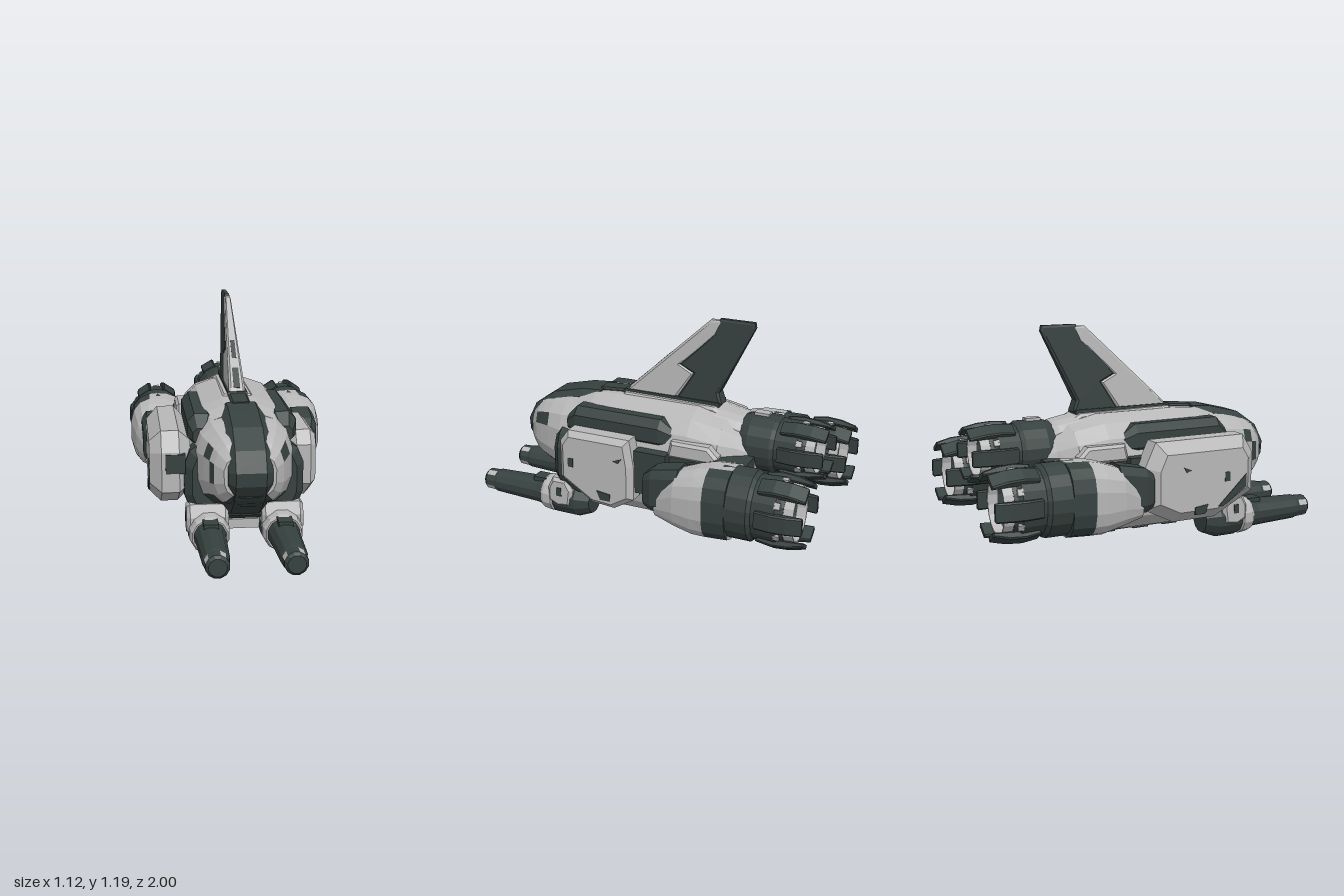
import * as THREE from 'three';

const light = new THREE.MeshStandardMaterial({ color: 0xb8b8b8 });
light.name = 'pale grey';
const dark = new THREE.MeshStandardMaterial({ color: 0x36413f });
dark.name = 'dark slate';

export function createModel() {
  const root = new THREE.Group();
  root.name = 'spacecraft';

  function add(name, geometry, material, parent = root) {
    const mesh = new THREE.Mesh(geometry, material);
    mesh.name = name;
    parent.add(mesh);
    return mesh;
  }

  function flat(geometry) {
    const g = geometry.index ? geometry.toNonIndexed() : geometry;
    g.computeVertexNormals();
    return g;
  }

  // Faceted hull through sections [z, x, halfWidth, yBottom, yTop], front to back.
  // isDark(section, side) picks the colour of each facet.
  function loft(name, sections, isDark, n = 16, power = 2.8) {
    const rings = sections.map(([z, x, w, y0, y1]) => Array.from({ length: n }, (_, j) => {
      const a = ((j + 0.5) / n) * Math.PI * 2, c = Math.cos(a), s = Math.sin(a);
      const bend = (v) => Math.sign(v) * Math.abs(v) ** (2 / power);
      return [x + w * bend(c), (y0 + y1) / 2 + ((y1 - y0) / 2) * bend(s), z];
    }));
    const faces = [[], []];
    const last = rings.length - 1;
    const middle = ([z, x, , y0, y1]) => [x, (y0 + y1) / 2, z];
    for (let j = 0; j < n; j++) {
      const k = (j + 1) % n;
      for (let i = 0; i < last; i++) {
        const a = rings[i][j], b = rings[i][k], c = rings[i + 1][k], d = rings[i + 1][j];
        faces[isDark(i, j) ? 1 : 0].push(...a, ...d, ...b, ...b, ...d, ...c);
      }
      faces[isDark(0, j) ? 1 : 0].push(...middle(sections[0]), ...rings[0][j], ...rings[0][k]);
      faces[isDark(last - 1, j) ? 1 : 0].push(...middle(sections[last]), ...rings[last][k], ...rings[last][j]);
    }
    const g = new THREE.BufferGeometry();
    g.setAttribute('position', new THREE.Float32BufferAttribute([...faces[0], ...faces[1]], 3));
    g.addGroup(0, faces[0].length / 3, 0);
    g.addGroup(faces[0].length / 3, faces[1].length / 3, 1);
    g.computeVertexNormals();
    return add(name, g, [light, dark]);
  }
  const allDark = () => true, allLight = () => false;

  // Side profile [z, y] extruded across x with chamfered edges.
  function slabGeometry(points, x0, x1, bevel = 0) {
    const depth = Math.abs(x1 - x0) - 2 * bevel;
    const g = new THREE.ExtrudeGeometry(new THREE.Shape(points.map((p) => new THREE.Vector2(...p))), {
      depth, bevelEnabled: bevel > 0, bevelSegments: 1,
      bevelSize: bevel, bevelThickness: bevel, bevelOffset: -bevel,
    });
    return g.translate(0, 0, -depth / 2).rotateY(-Math.PI / 2).translate((x0 + x1) / 2, 0, 0);
  }
  const slab = (name, points, x0, x1, bevel, mat) => add(name, slabGeometry(points, x0, x1, bevel), mat);

  function box(name, x0, x1, y0, y1, z0, z1, mat) {
    const g = new THREE.BoxGeometry(Math.abs(x1 - x0), y1 - y0, z1 - z0);
    return add(name, g.translate((x0 + x1) / 2, (y0 + y1) / 2, (z0 + z1) / 2), mat);
  }

  // Main fuselage: pale back and belly, dark flanks and dark forward keel
  loft('fuselage', [
    [0.42, 0, 0.24, 0.18, 0.71], [0.32, 0, 0.28, 0.09, 0.735], [0.2, 0, 0.29, 0.09, 0.745],
    [-0.28, 0, 0.29, 0.09, 0.745], [-0.45, 0, 0.28, 0.13, 0.71], [-0.54, 0, 0.2, 0.18, 0.66], [-0.62, 0, 0.15, 0.24, 0.6],
  ], (i, j) => j === 15 || j === 7 || (j > 7 && (i < 2 || i > 3)));
  for (const s of [-1, 1]) {
    for (const z of [-0.28, -0.08, 0.1]) box('bellyPanel', s * 0.05, s * 0.12, 0.097, 0.105, z, z + 0.09, dark);
    loft('shoulderPanel', [[0.42, s * 0.215, 0.045, 0.55, 0.64], [0.36, s * 0.21, 0.078, 0.53, 0.705],
      [-0.13, s * 0.21, 0.078, 0.53, 0.705], [-0.2, s * 0.215, 0.045, 0.55, 0.65]], allDark, 8, 2.4);
    box('flankBlock', s * 0.24, s * 0.34, 0.3, 0.54, -0.2, -0.02, dark);
    slab('rearFairing', [[-0.19, 0.52], [-0.21, 0.61], [-0.42, 0.61], [-0.47, 0.56], [-0.47, 0.52]],
      s * 0.2, s * 0.305, 0.015, light);
    slab('enginePylon', [[-0.3, 0.3], [-0.3, 0.5], [-0.46, 0.55], [-0.62, 0.54], [-0.62, 0.3]], s * 0.12, s * 0.33, 0.02, dark);
  }

  // Nose: pale cheeks with dark slits, a dark canopy band and a collar behind
  loft('cheeks', [
    [0.72, 0, 0.13, 0.36, 0.58], [0.67, 0, 0.175, 0.31, 0.635], [0.63, 0, 0.195, 0.29, 0.655],
    [0.57, 0, 0.22, 0.27, 0.675], [0.48, 0, 0.25, 0.23, 0.695], [0.34, 0, 0.26, 0.22, 0.715],
  ], (i, j) => (i === 1 && [0, 7].includes(j)) || (i === 2 && [6, 7, 0, 1, 9, 13].includes(j) && j % 6 !== 1)
    || (i === 3 && [9, 13].includes(j)) || (j > 9 && j < 13));
  slab('canopyBand', [[0.77, 0.5], [0.765, 0.43], [0.7, 0.34], [0.5, 0.2], [0.3, 0.18], [0.3, 0.74],
    [0.42, 0.73], [0.6, 0.685], [0.72, 0.6]], -0.11, 0.11, 0.035, dark);
  slab('canopyNeck', [[0.12, 0.72], [0.12, 0.76], [0.32, 0.745], [0.32, 0.7]], -0.05, 0.05, 0.01, dark);
  slab('chinSensor', [[0.5, 0.25], [0.5, 0.34], [0.69, 0.35], [0.62, 0.28]], -0.035, 0.035, 0, dark);
  loft('collar', [[0.5, 0, 0.27, 0.19, 0.56], [0.46, 0, 0.31, 0.16, 0.6], [0.36, 0, 0.31, 0.13, 0.6],
    [0.3, 0, 0.28, 0.12, 0.58]], allDark, 16, 3.2);

  // Flank armour, larger on the -x side
  slab('leftArmour', [[0.41, 0.53], [0.36, 0.6], [0, 0.6], [-0.025, 0.45], [-0.025, 0.26], [0.09, 0.19],
    [0.22, 0.2], [0.41, 0.32]], 0.25, 0.385, 0.03, light);
  slab('rightArmour', [[0.48, 0.53], [0.42, 0.63], [-0.1, 0.63], [-0.16, 0.5], [-0.16, 0.28], [0, 0.2],
    [0.25, 0.2], [0.48, 0.32]], -0.27, -0.48, 0.06, light);
  slab('rightArmourTrim', [[0.485, 0.42], [0.485, 0.52], [0.4, 0.52], [0.4, 0.42]], -0.3, -0.4, 0, dark);
  slab('rightArmourCorner', [[0.41, 0.36], [0.41, 0.43], [0.24, 0.27], [0.27, 0.27]], -0.476, -0.484, 0, dark);
  for (const [x, d] of [[0.385, 0], [-0.48, 0.04]]) {
    box('armourVent', x - 0.004, x + 0.004, 0.4, 0.45, 0.32 - d, 0.35 - d, dark);
    slab('armourHatch', [[0.1, 0.28], [0.18, 0.29], [0.16, 0.24], [0.1, 0.24]], x - 0.004, x + 0.004, 0, dark);
    slab('armourNotch', [[0.08, 0.48], [0.03, 0.5], [0.05, 0.47]], x - 0.004, x + 0.004, 0, dark);
  }

  // Tail fin, thinning toward its tip
  slab('finBase', [[0.2, 0.69], [0.16, 0.75], [-0.36, 0.745], [-0.46, 0.69]], -0.085, 0.085, 0.015, light);
  function fin(name, points, mat) {
    const g = slabGeometry(points, -0.045, 0.045, 0.012), p = g.attributes.position;
    for (let i = 0; i < p.count; i++) p.setX(i, p.getX(i) * (1 - 0.68 * (p.getY(i) - 0.75) / 0.46));
    add(name, flat(g), mat);
  }
  fin('finLeadingPanel', [[0.16, 0.75], [0.14, 0.78], [-0.31, 1.2], [-0.38, 1.2], [-0.34, 1.12],
    [-0.15, 0.94], [-0.23, 0.9], [-0.13, 0.75]], light);
  fin('finTrailingPanel', [[-0.36, 1.21], [-0.55, 1.21], [-0.555, 1.18], [-0.37, 0.81], [-0.39, 0.75],
    [-0.13, 0.75], [-0.22, 0.9], [-0.14, 0.94], [-0.33, 1.13]], dark);
  slab('finFootStrip', [[0.18, 0.738], [0.17, 0.762], [-0.38, 0.762], [-0.38, 0.738]], -0.052, 0.052, 0, dark);
  for (const [y, length, w] of [[0.82, 0.13, 0.034], [0.95, 0.12, 0.024]]) {
    const strip = add('finEdgeStrip', new THREE.BoxGeometry(w, length, 0.009), dark);
    strip.position.set(0, y, 0.135 - (y - 0.78) * 1.07);
    strip.rotation.x = -0.82;
  }

  // Engine: hollow dark nozzle, pale inner rim and six petals
  function engine(name, x, y, zStart, zEnd, r, stretch) {
    const group = new THREE.Group();
    group.name = name;
    group.position.set(x, y, zEnd);
    group.scale.y = stretch;
    root.add(group);
    const L = zStart - zEnd;
    const lathe = (part, pts, mat) => add(part, flat(new THREE.LatheGeometry(
      pts.map(([q, d]) => new THREE.Vector2(r * q, d)), 18).rotateX(-Math.PI / 2).translate(0, 0, L)), mat, group);
    lathe('nozzle', [[0, 0], [0.9, 0], [1, 0.05], [1, L - 0.28], [0.91, L - 0.26], [0.94, L - 0.14],
      [0.84, L - 0.12], [0.82, L - 0.1], [0.74, L - 0.1], [0.66, L - 0.22], [0, L - 0.22]], dark);
    lathe('innerRim', [[0.74, L - 0.12], [0.81, L - 0.11], [0.79, L - 0.05], [0.75, L - 0.05], [0.74, L - 0.12]], light);
    lathe('exhaustCone', [[0.45, L - 0.23], [0.35, L - 0.16], [0, L - 0.12]], dark);
    for (let i = 0; i < 6; i++) {
      const petal = add('petal', slabGeometry([[0.24, r * 0.84], [0, r * 0.76], [0, r * 0.88], [0.08, r * 0.99],
        [0.16, r * 1.02], [0.24, r * 0.96]], -0.042, 0.042, 0.006), dark, group);
      petal.rotation.z = ((i + 0.5) * Math.PI) / 3;
      const clip = add('petalClip', new THREE.BoxGeometry(0.03, 0.012, 0.03).translate(0, r * 0.9, 0.13), light, group);
      clip.rotation.z = (i * Math.PI) / 3;
    }
  }
  engine('centreEngine', 0, 0.57, -0.52, -0.975, 0.155, 1);
  loft('centreEngineHood', [[-0.38, 0, 0.16, 0.45, 0.735], [-0.5, 0, 0.14, 0.43, 0.715], [-0.55, 0, 0.11, 0.45, 0.69]], allLight);
  box('engineTab', -0.025, 0.025, 0.715, 0.735, -0.65, -0.57, light);

  for (const s of [-1, 1]) {
    engine(s > 0 ? 'leftEngine' : 'rightEngine', s * 0.395, 0.395, -0.5, -1, 0.163, 1.15);
    const outer = (j) => (s > 0 ? j < 3 || j > 12 : j > 3 && j < 11);
    loft('enginePod', [
      [-0.2, s * 0.42, 0.07, 0.25, 0.42], [-0.32, s * 0.425, 0.11, 0.22, 0.53], [-0.42, s * 0.412, 0.14, 0.195, 0.565],
      [-0.49, s * 0.403, 0.158, 0.195, 0.58], [-0.61, s * 0.395, 0.165, 0.2, 0.585],
    ], (i, j) => i === 3 && outer(j), 16, 2.6);
    loft('engineIntake', [[-0.13, s * 0.42, 0.055, 0.3, 0.48], [-0.18, s * 0.42, 0.078, 0.28, 0.52],
      [-0.33, s * 0.42, 0.085, 0.3, 0.55]], allDark, 8, 4);

    // Chin cannon with its mount, bands and shroud
    const tube = (name, rows, test) => loft(name, rows.map(([z, r]) => [z, s * 0.187, r, 0.12 - r, 0.12 + r]), test, 12, 2);
    tube('cannonBarrel', [[1, 0.045], [0.985, 0.06], [0.93, 0.062], [0.91, 0.068], [0.64, 0.078], [0.56, 0.09]],
      (i, j) => i !== 1 || ![1, 4, 7, 10].includes(j));
    tube('cannonBand', [[0.6, 0.092], [0.58, 0.102], [0.53, 0.107], [0.52, 0.095]], (i, j) => j > 7 && j < 10);
    tube('cannonBody', [[0.54, 0.09], [0.5, 0.108], [0.38, 0.108], [0.3, 0.075]], allDark);
    slab('cannonBracket', [[0.54, 0.12], [0.54, 0.2], [0.51, 0.262], [0.42, 0.262], [0.385, 0.2], [0.4, 0.1], [0.48, 0.09]],
      s * 0.085, s * 0.3, 0.018, light);
    box('bracketHatch', s * 0.296, s * 0.304, 0.16, 0.21, 0.45, 0.48, dark);
    box('bracketCap', s * 0.14, s * 0.24, 0.25, 0.266, 0.43, 0.5, dark);
    box('barrelRail', s * 0.15, s * 0.225, 0.17, 0.21, 0.55, 0.67, dark);
  }
  box('cannonCrossbar', -0.12, 0.12, 0.1, 0.15, 0.3, 0.44, light);

  return root;
}
